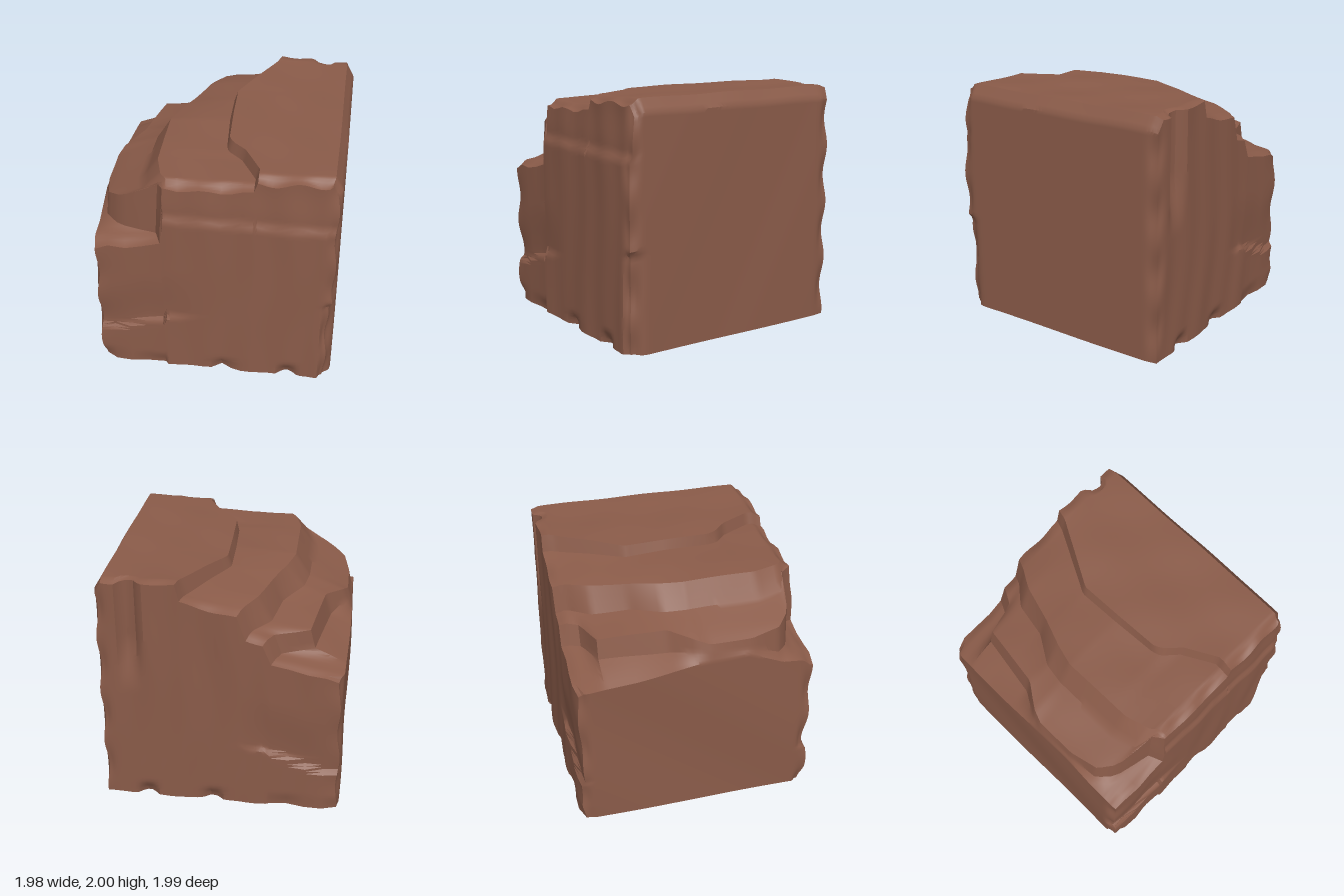
import * as THREE from 'three';
import { toCreasedNormals } from 'three/addons/utils/BufferGeometryUtils.js';

const ROWS = 64, WALL_ROWS = 60, END = 0.985;
const smooth = THREE.MathUtils.smoothstep;
const lerp = THREE.MathUtils.lerp;

// Terrace cliffs running front to back. Each row: z, x of the lip, lip height, x of the foot, foot height.
const upperCliff = [
  [-1, 0.34, 2.0, 0.31, 1.86], [-0.88, 0.31, 1.99, 0.27, 1.86], [-0.35, 0.02, 1.97, -0.01, 1.88],
  [0.0, 0.03, 1.97, 0.0, 1.89], [0.38, 0.05, 1.97, 0.03, 1.88], [0.45, 0.09, 1.97, 0.05, 1.88],
  [0.55, 0.2, 1.97, 0.17, 1.87], [0.8, 0.34, 1.97, 0.31, 1.87], [1, 0.34, 1.96, 0.31, 1.87]];
const middleCliff = [
  [-1, -0.13, 1.76, -0.2, 1.56], [-0.88, -0.18, 1.78, -0.25, 1.58], [-0.72, -0.27, 1.8, -0.38, 1.6],
  [-0.42, -0.36, 1.82, -0.44, 1.63], [-0.18, -0.45, 1.84, -0.59, 1.66], [0.0, -0.5, 1.86, -0.62, 1.67],
  [0.6, -0.49, 1.86, -0.62, 1.68], [0.8, -0.43, 1.86, -0.58, 1.7], [0.88, -0.38, 1.86, -0.41, 1.83],
  [1, -0.36, 1.85, -0.38, 1.85]];
const lowerCliff = [
  [-1, -0.33, 1.53, -0.4, 1.36], [-0.82, -0.42, 1.54, -0.48, 1.38], [-0.74, -0.69, 1.55, -0.73, 1.39],
  [-0.2, -0.77, 1.6, -0.82, 1.42], [0.0, -0.91, 1.55, -0.94, 1.46], [0.1, -0.95, 1.52, -0.97, 1.46],
  [0.45, -0.95, 1.52, -0.97, 1.43], [0.68, -0.89, 1.55, -0.92, 1.33], [0.79, -0.76, 1.61, -0.79, 1.32],
  [0.86, -0.45, 1.78, -0.48, 1.32], [1, -0.39, 1.85, -0.42, 1.33]];
const westRim = [[-1, 1.24], [-0.5, 1.3], [0, 1.38], [0.4, 1.4], [0.7, 1.27], [1, 1.25]];

// Linear lookup in a table keyed by z.
function sample(table, z) {
  let k = 1;
  while (k < table.length - 1 && table[k][0] < z) k++;
  const [a, b] = [table[k - 1], table[k]];
  const t = (z - a[0]) / (b[0] - a[0]);
  return a.slice(1).map((v, i) => lerp(v, b[i + 1], t));
}

// Terraced top outline at one depth, west to east, each span subdivided.
const SPANS = [4, 3, 8, 3, 8, 3, 16, 3];
function topSection(z) {
  const [ux, uy, ufx, ufy] = sample(upperCliff, z);
  const [mx, my, mfx, mfy] = sample(middleCliff, z);
  const [lx, ly, lfx, lfy] = sample(lowerCliff, z);
  const pts = [[-0.99, sample(westRim, z)[0]], [lfx, lfy], [lx, ly], [mfx, mfy], [mx, my],
    [ufx, ufy], [ux, uy], [0.92, 1.985], [0.985, 1.88]];
  const out = [];
  SPANS.forEach((n, s) => {
    for (let i = 0; i < n; i++) {
      out.push([lerp(pts[s][0], pts[s + 1][0], i / n), lerp(pts[s][1], pts[s + 1][1], i / n)]);
    }
  });
  out.push(pts[8]);
  const drop = 0.045 * smooth(z, 0.86, END) + 0.02 * smooth(-z, 0.92, END);
  return out.map(([x, y]) => {
    const ripple = 0.006 * Math.sin(x * 9 - z * 4) * Math.sin(z * 5 + x * 2);
    return [x, Math.min(2, y + ripple - drop * (1 + 0.4 * Math.sin(x * 17)))];
  });
}

// Weathering of the outer faces: cracks, chips, chamfers and rounded corners.
function weather(x, y, z) {
  const ax = Math.abs(x), az = Math.abs(z);
  const front = smooth(z, 0.8, END), back = smooth(-z, 0.8, END), end = front + back;
  const west = smooth(-x, 0.85, 0.99), east = smooth(x, 0.85, 0.985);
  // long crack low on both ends, with the slab below it standing proud
  const crackY = 0.36 + 0.2 * smooth(x, -0.95, -0.2) + 0.012 * Math.sin(x * 31);
  const fade = 1 - smooth(x, -0.45, -0.1);
  let inset = end * fade * 0.035 * smooth(y, crackY - 0.025, crackY + 0.015) * (1 - 0.8 * smooth(y, crackY, crackY + 0.5));
  // upper front face leans back above a shallow ledge
  inset += front * (0.03 * smooth(y, 1.5, 1.58) + 0.015 * smooth(y, 1.6, 1.9));
  // vertical streaks
  inset += end * 0.008 * (1 + Math.sin(x * 14 + Math.sin(y * 3 + z)) * Math.sin(x * 5 + y));
  // broken lower edge
  const tooth = Math.max(0, Math.sin(x * 11 + 1) * 0.6 + Math.sin(x * 23) * 0.5);
  inset += end * 0.06 * tooth * (1 - smooth(y, 0, 0.14));
  // split in the back face near the tall corner
  inset += back * 0.07 * smooth(y, 1.0, 1.5) * smooth(x, 0.6, 0.68) * (1 - smooth(x, 0.76, 0.8));
  // plan-view corner rounding, with a deeper chip low on the front east corner
  const corner = smooth(ax, 0.86, 0.99) * smooth(az, 0.86, END);
  const chip = front * east * (1 - smooth(y, 0.78, 0.84)) * 0.035;
  const round = corner * (0.025 + 0.012 * Math.sin(y * 13 + x * 3 + z * 5)) + chip;
  const sideInset = west * 0.008 * (1 + Math.sin(y * 4 + z * 3)) + 0.004 * east * (1 + Math.sin(z * 4 + y * 2));
  return [x - Math.sign(x) * (round + sideInset), y, z * 1.012 - Math.sign(z) * (inset + round * 0.8)];
}

function buildRock() {
  const grid = [];
  for (let j = 0; j <= ROWS; j++) {
    const z = lerp(-END, END, j / ROWS);
    grid.push(topSection(z).map(([x, y]) => [x, y, z]));
  }
  const cols = grid[0].length - 1;
  const pos = [];
  // adds a patch whose outside is the v cross u side
  const patch = (nu, nv, fn) => {
    for (let u = 0; u < nu; u++) {
      for (let v = 0; v < nv; v++) {
        const a = fn(u, v), b = fn(u + 1, v), c = fn(u, v + 1), d = fn(u + 1, v + 1);
        pos.push(...a, ...c, ...b, ...b, ...c, ...d);
      }
    }
  };
  const at = (i, j, t) => {
    const [x, y, z] = grid[j][i];
    return weather(x, y * t, z);
  };
  patch(cols, ROWS, (i, j) => at(i, j, 1));                              // terraced top
  patch(ROWS, cols, (j, i) => at(i, j, 0));                              // underside
  patch(cols, WALL_ROWS, (u, v) => at(cols - u, ROWS, v / WALL_ROWS));   // front
  patch(cols, WALL_ROWS, (u, v) => at(u, 0, v / WALL_ROWS));             // back
  patch(ROWS, WALL_ROWS, (u, v) => at(0, ROWS - u, v / WALL_ROWS));      // west side
  patch(ROWS, WALL_ROWS, (u, v) => at(cols, u, v / WALL_ROWS));          // east side
  const geo = new THREE.BufferGeometry();
  geo.setAttribute('position', new THREE.Float32BufferAttribute(pos, 3));
  return toCreasedNormals(geo, 0.55);
}

export function createModel() {
  const stone = new THREE.MeshStandardMaterial({ color: 0x8a5b49 });
  stone.name = 'brownStone';
  const rock = new THREE.Mesh(buildRock(), stone);
  rock.name = 'rockBlock';
  const group = new THREE.Group();
  group.name = 'terracedRock';
  group.add(rock);
  return group;
}
